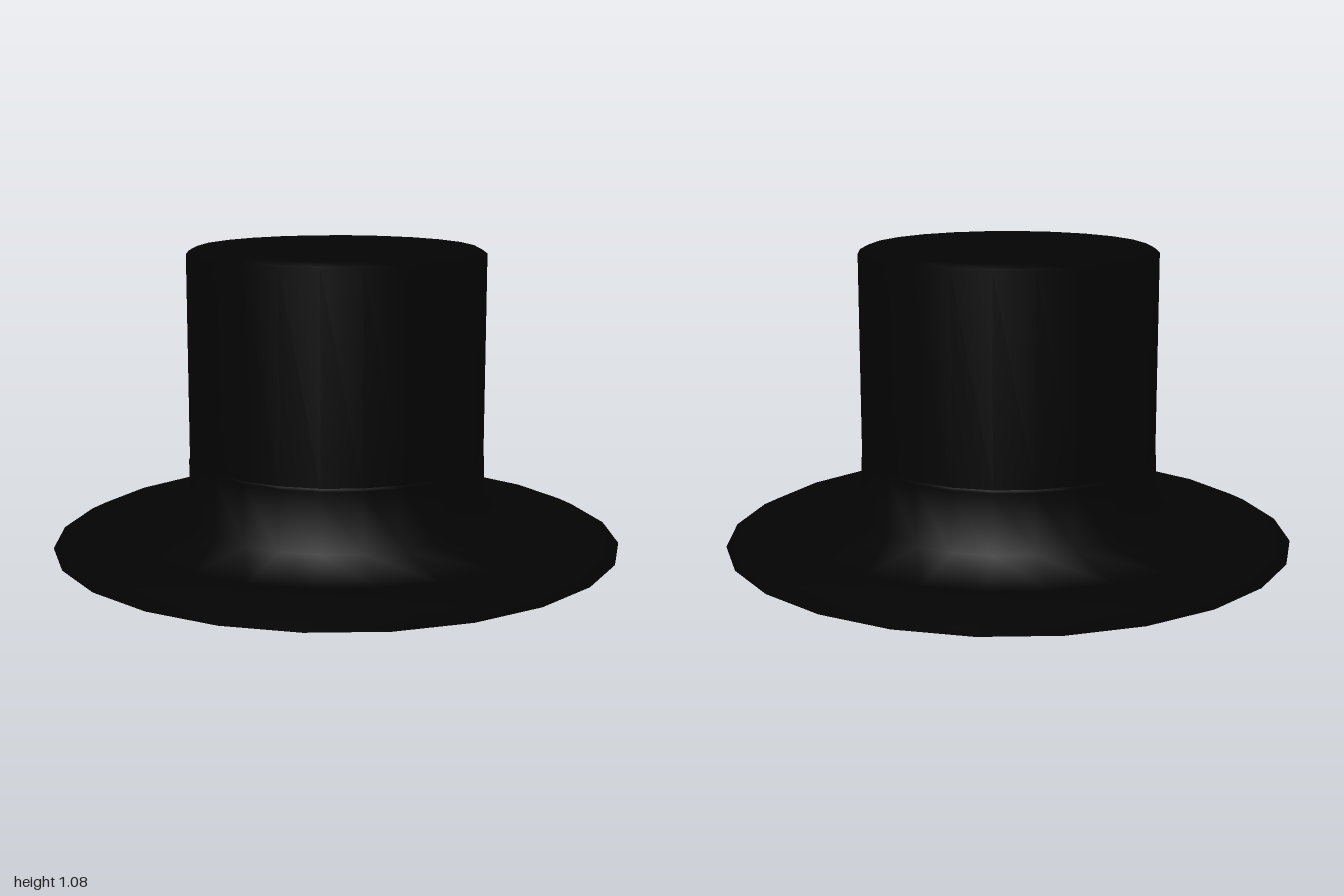
import * as THREE from 'three';

const SIDES = 24;

export function createModel() {
  const hat = new THREE.Group();
  hat.name = 'topHat';
  const felt = new THREE.MeshStandardMaterial({ color: 0x030303 });

  // Spins a [radius, height] profile, listed from bottom to top on the outside
  function turned(name, profile) {
    const points = profile.map(([r, y]) => new THREE.Vector2(r, y));
    const mesh = new THREE.Mesh(new THREE.LatheGeometry(points, SIDES), felt);
    mesh.name = name;
    hat.add(mesh);
  }

  // Domed hollow for the head, opening in the underside
  turned('headHollow', [
    [0, 0.42], [0.2, 0.4], [0.35, 0.34], [0.43, 0.24], [0.475, 0.12], [0.53, 0.03], [0.62, 0.004],
  ]);

  // Brim with a thin rim, running softly into the slightly wider foot of the crown
  turned('brim', [
    [0.62, 0.004], [0.78, 0], [0.94, 0.015], [1, 0.037],
    [0.94, 0.067], [0.78, 0.098], [0.523, 0.127], [0.523, 0.335], [0.52, 0.345],
  ]);

  // Crown: straight wall and bevelled top
  turned('crown', [
    [0.52, 0.345], [0.52, 1.055], [0.49, 1.071], [0.4, 1.078], [0, 1.078],
  ]);

  return hat;
}
